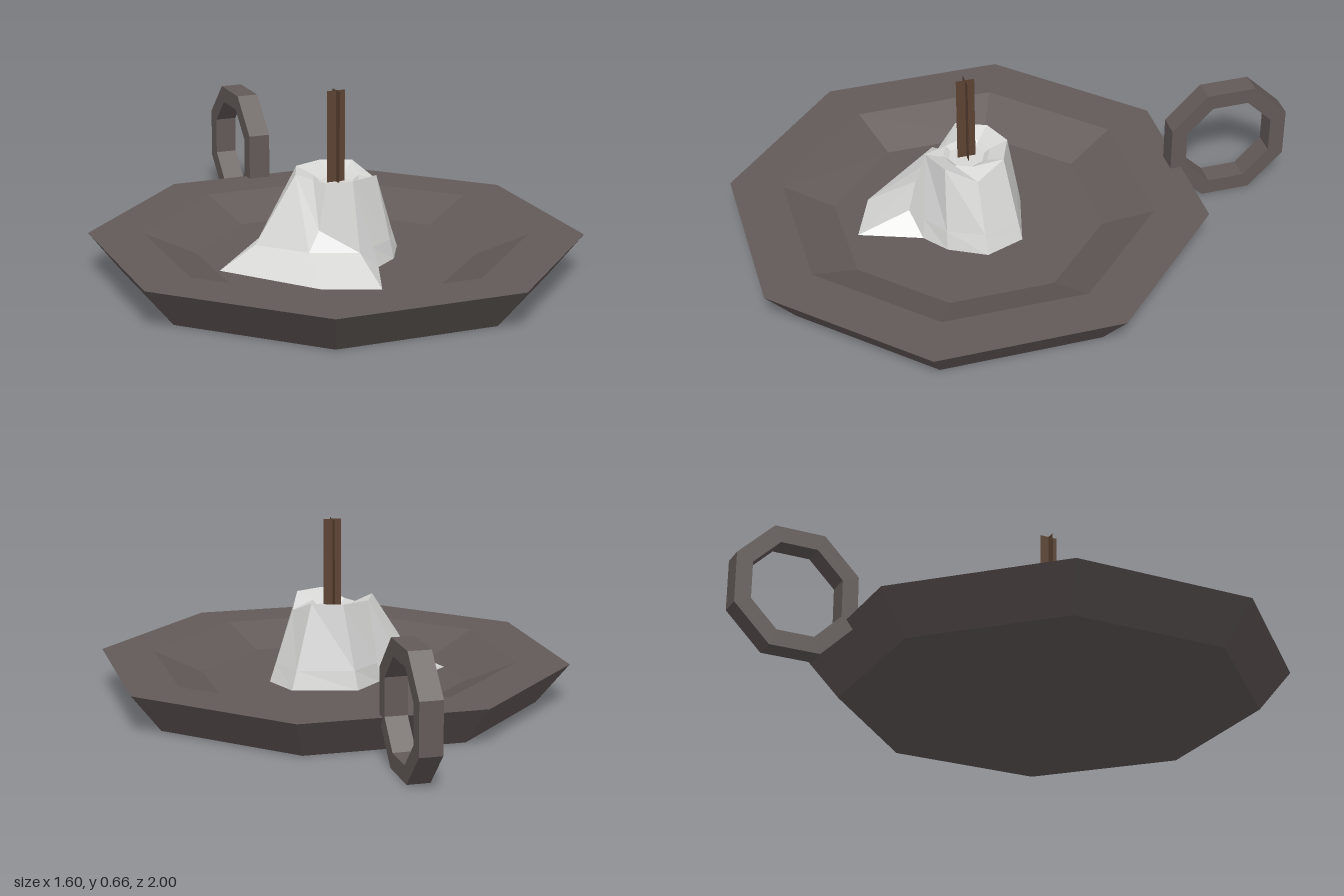
import * as THREE from 'three';

const material = (name, color, extra = {}) => {
  const m = new THREE.MeshStandardMaterial({ color, flatShading: true, ...extra });
  m.name = name;
  return m;
};

const part = (name, geometry, mat, x = 0, y = 0, z = 0) => {
  const mesh = new THREE.Mesh(geometry, mat);
  mesh.name = name;
  mesh.position.set(x, y, z);
  return mesh;
};

// Octagon with flat sides, given the distance from centre to side
const toCorner = 1 / Math.cos(Math.PI / 8);
function octagon(path, apothem) {
  const pts = [];
  for (let i = 0; i < 8; i++) {
    const a = Math.PI / 8 + i * Math.PI / 4;
    pts.push(new THREE.Vector2(Math.cos(a), Math.sin(a)).multiplyScalar(apothem * toCorner));
  }
  return path.setFromPoints(pts);
}

// Joins rings of points, listed from the lowest to the innermost
function loft(rings) {
  const pos = [];
  for (let j = 0; j < rings.length - 1; j++) {
    const n = rings[j].length;
    for (let k = 0; k < n; k++) {
      const m = (k + 1) % n;
      const a = rings[j][k], b = rings[j][m], c = rings[j + 1][m], d = rings[j + 1][k];
      pos.push(...a, ...b, ...d, ...b, ...c, ...d);
    }
  }
  const g = new THREE.BufferGeometry();
  g.setAttribute('position', new THREE.Float32BufferAttribute(pos, 3));
  g.computeVertexNormals();
  return g;
}

// Melted candle stub: columns around the axis, some of them running out as drips
function waxGeometry() {
  const floorY = 0.068, midY = 0.14;
  const columns = [
    { turn: 0, h: 0.375, foot: [0, 0.41], mid: [0, 0.215] },
    { turn: 0, h: 0.375, foot: [0.085, 0.185] },
    { turn: 1, h: 0.375, foot: [0.17, 0.12] },
    { turn: 2, h: 0.33, foot: [0.24, -0.01] },
    { turn: 3, h: 0.375, foot: [0.19, -0.15] },
    { turn: 4, h: 0.375, foot: [-0.04, -0.21] },
    { turn: 5, h: 0.375, foot: [-0.15, -0.11] },
    { turn: 5, h: 0.375, foot: [-0.29, -0.1], mid: [-0.235, -0.1] },
    { turn: 6, h: 0.375, foot: [-0.44, 0.02], mid: [-0.3, 0] },
    { turn: 7, h: 0.2, foot: [-0.19, 0.33], mid: [-0.16, 0.15] },
  ];
  const at = (c, r, y) => [r * Math.sin(c.turn * Math.PI / 4), y, r * Math.cos(c.turn * Math.PI / 4)];
  const foot = columns.map(c => [c.foot[0], floorY, c.foot[1]]);
  const top = columns.map(c => at(c, 0.15, c.h));
  const mid = columns.map((c, i) => {
    if (c.mid) return [c.mid[0], midY, c.mid[1]];
    const t = (midY - floorY) / (c.h - floorY);
    return foot[i].map((v, k) => v + (top[i][k] - v) * t);
  });
  const lip = columns.map(c => at(c, 0.085, 0.35));
  const pool = columns.map(c => at(c, 0.065, 0.335));
  const centre = columns.map(() => [0, 0.335, 0]);
  return loft([foot, mid, top, lip, pool, centre]);
}

export function createModel() {
  const group = new THREE.Group();
  group.name = 'candleHolder';
  const metal = material('dark metal', 0x625a58);
  const wax = material('wax', 0xd6d6d5);
  const wickBrown = material('wick brown', 0x5c4232, { side: THREE.DoubleSide });
  const axisZ = 0.2;

  // Dish with flat rim and sunken floor
  const profile = [[0, 0], [0.69, 0], [0.8, 0.145], [0.62, 0.145], [0.45, 0.07], [0, 0.07]]
    .map(([r, y]) => new THREE.Vector2(r * toCorner, y));
  const dish = new THREE.LatheGeometry(profile, 8, Math.PI / 8);
  group.add(part('dish', dish, metal, 0, 0, axisZ));

  // Ring handle at the back
  const shape = octagon(new THREE.Shape(), 0.22);
  shape.holes.push(octagon(new THREE.Path(), 0.162));
  const ring = new THREE.ExtrudeGeometry(shape, { depth: 0.08, bevelEnabled: false });
  ring.translate(0, 0, -0.04).rotateY(Math.PI / 2);
  group.add(part('ringHandle', ring, metal, 0, 0.22, -0.78));

  // Candle stub
  group.add(part('candleWax', waxGeometry(), wax, 0, 0, axisZ));

  // Wick of two crossed strips
  const wick = new THREE.Group();
  wick.name = 'wick';
  for (const turn of [0, Math.PI / 2]) {
    const strip = new THREE.PlaneGeometry(0.066, 0.33).rotateY(turn);
    wick.add(part('wickStrip', strip, wickBrown, 0, 0.495, axisZ));
  }
  group.add(wick);
  return group;
}
